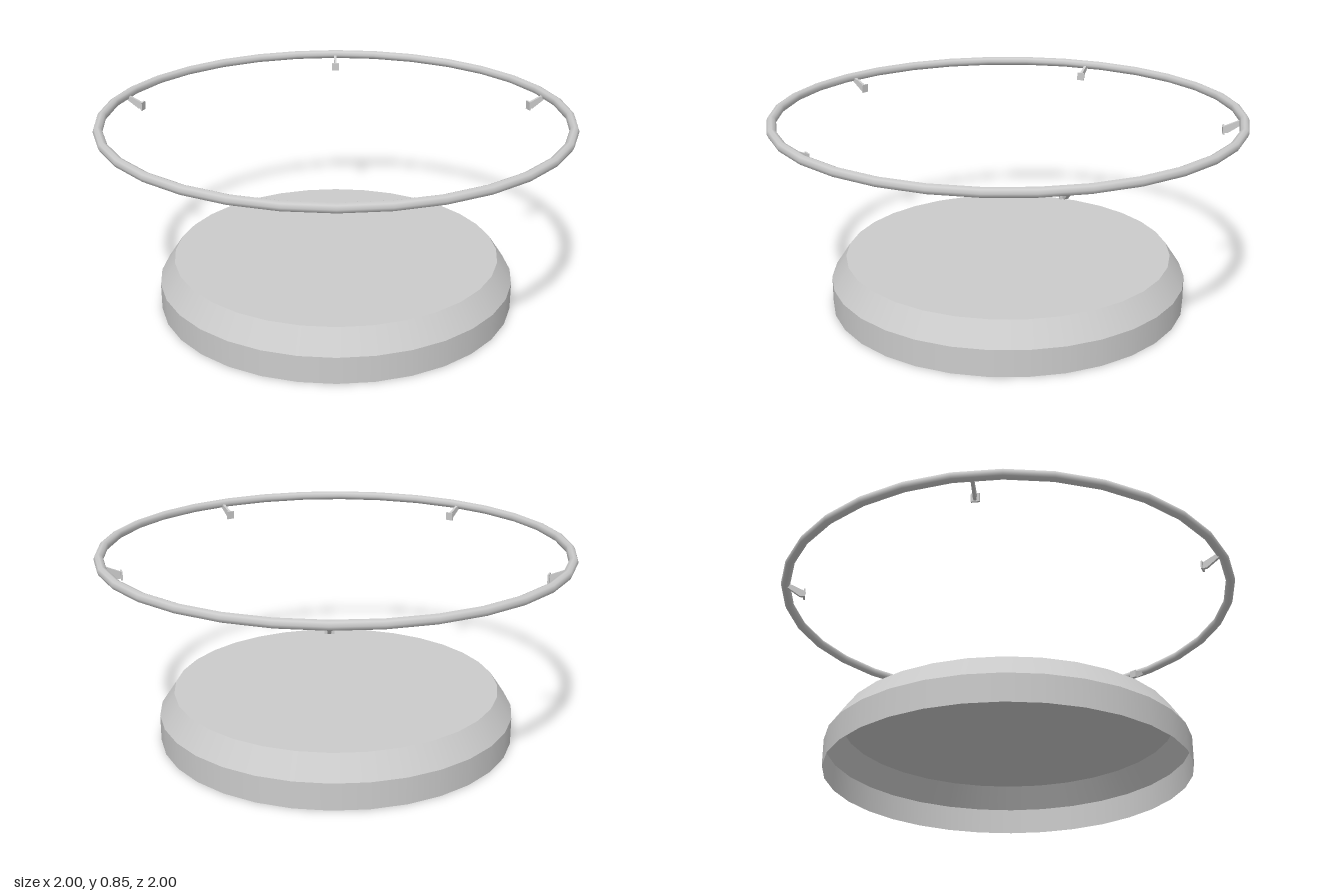
import * as THREE from 'three';

const SIDES = 32;

export function createModel() {
  const model = new THREE.Group();
  const grey = new THREE.MeshStandardMaterial({ color: 0xcccccc });
  const shell = new THREE.MeshStandardMaterial({ color: 0xcccccc, side: THREE.DoubleSide });

  function add(parent, name, geometry, material = grey) {
    const mesh = new THREE.Mesh(geometry, material);
    mesh.name = name;
    parent.add(mesh);
    return mesh;
  }

  // Base: thin shell, open underneath; separate bands keep the edges sharp
  const base = new THREE.Group();
  base.name = 'base';
  model.add(base);
  const band = (...pts) =>
    new THREE.LatheGeometry(pts.map(([r, y]) => new THREE.Vector2(r, y)), SIDES);
  add(base, 'baseWall', band([0.768, 0], [0.768, 0.115]), shell);
  add(base, 'baseBevel', band([0.768, 0.115], [0.703, 0.212]), shell);
  const top = add(base, 'baseTop', new THREE.CircleGeometry(0.703, SIDES).rotateX(-Math.PI / 2), shell);
  top.position.y = 0.212;

  // Floating ring
  const ring = add(model, 'ring', new THREE.TorusGeometry(0.98, 0.02, 8, SIDES).rotateX(Math.PI / 2));
  ring.position.y = 0.825;

  // Bracket arm: side profile (radius, height), extruded to a thin web
  const armShape = new THREE.Shape(
    [[0.897, 0.77], [0.915, 0.77], [0.972, 0.808], [0.975, 0.828], [0.955, 0.822], [0.897, 0.797]]
      .map(([r, y]) => new THREE.Vector2(r, y)));
  const armGeometry = new THREE.ExtrudeGeometry(armShape, { depth: 0.012, bevelEnabled: false });
  armGeometry.translate(0, 0, -0.006);
  const padGeometry = new THREE.BoxGeometry(0.007, 0.036, 0.034);
  padGeometry.translate(0.896, 0.783, 0);

  // Five brackets, the first at the back
  for (let i = 0; i < 5; i++) {
    const bracket = new THREE.Group();
    bracket.name = `bracket${i + 1}`;
    bracket.rotation.y = Math.PI / 2 + (i * 2 * Math.PI) / 5;
    add(bracket, 'bracketArm', armGeometry);
    add(bracket, 'bracketPad', padGeometry);
    model.add(bracket);
  }

  return model;
}
